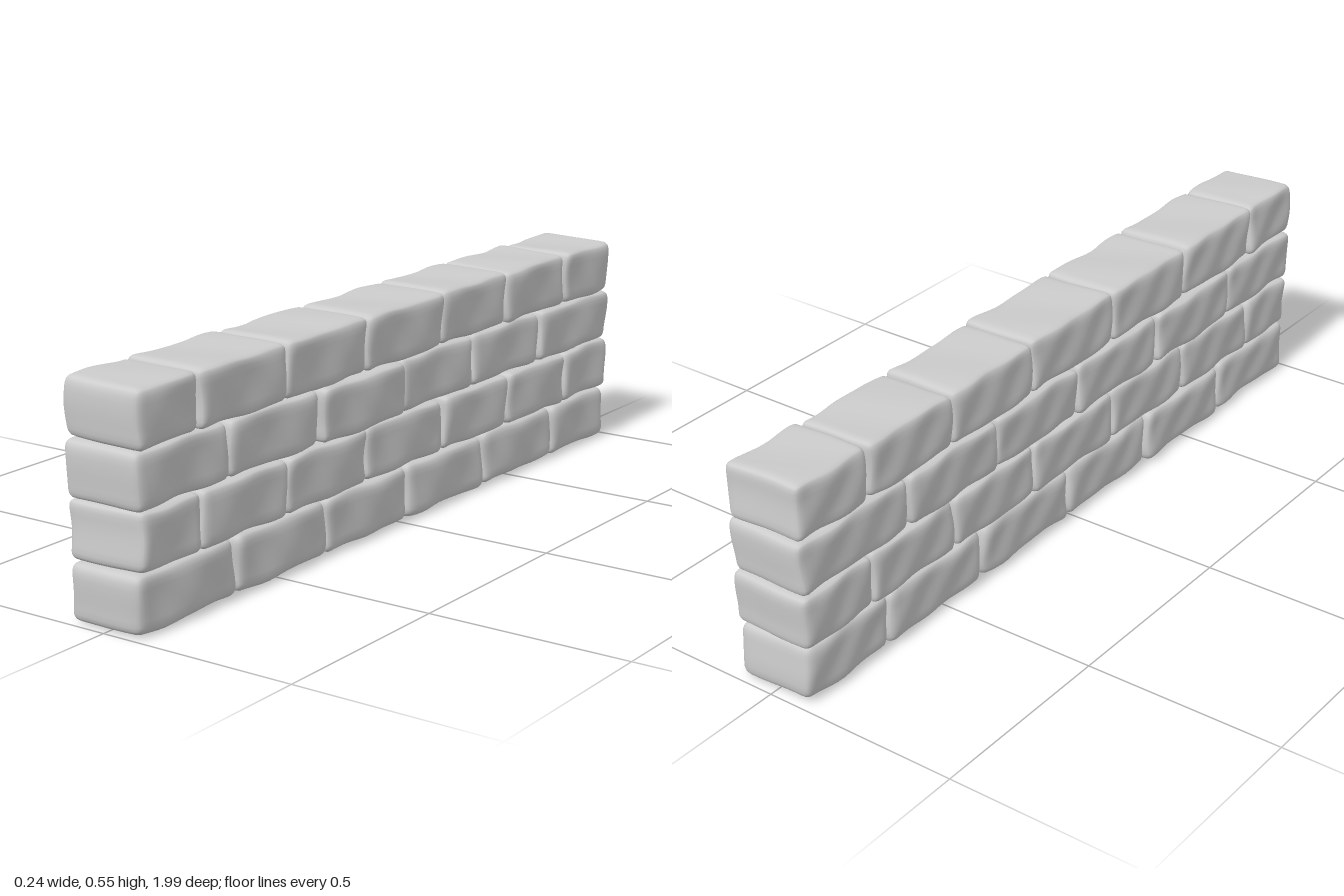
import * as THREE from 'three';
import { mergeVertices } from 'three/addons/utils/BufferGeometryUtils.js';

const material = new THREE.MeshStandardMaterial({ color: 0xcccccc });

// Small seeded generator, returns -1..1
function seeded(seed) {
  let s = seed;
  return () => {
    s = (s * 16807) % 2147483647;
    return (s / 2147483647) * 2 - 1;
  };
}

// Worn stone block: box with rounded edges and a gentle surface ripple
function stoneGeometry(w, h, d, r, rand) {
  const geo = new THREE.BoxGeometry(w, h, d, 12, 12, 20);
  geo.deleteAttribute('uv');
  geo.deleteAttribute('normal');
  const half = new THREE.Vector3(w / 2, h / 2, d / 2);
  const inner = half.clone().subScalar(r);
  const outer = inner.clone().negate();
  const phase = Array.from({ length: 6 }, () => rand() * Math.PI);
  const taper = rand() * 0.03;
  const pos = geo.attributes.position;
  const p = new THREE.Vector3();
  const core = new THREE.Vector3();
  for (let i = 0; i < pos.count; i++) {
    p.fromBufferAttribute(pos, i);
    // Gather the grid lines near the edges, then round them
    for (const a of ['x', 'y', 'z']) {
      p[a] = half[a] * Math.sin((p[a] / half[a]) * Math.PI / 2);
    }
    core.copy(p).clamp(outer, inner);
    p.sub(core).setLength(r).add(core);
    // Hand-cut unevenness
    const { x, y, z } = p;
    const side = x / half.x;
    p.x += 0.003 * Math.sin(z * 24 + y * 18 + phase[0] + side) * side
      + 0.002 * Math.sin(z * 45 - y * 40 + phase[1]);
    p.y += 0.002 * Math.sin(z * 26 + phase[2] + x * 10) + taper * z * 0.4;
    p.z += 0.003 * Math.sin(y * 35 + phase[3]) + 0.002 * Math.sin(x * 30 + phase[4]);
    pos.setXYZ(i, p.x, p.y, p.z);
  }
  const smooth = mergeVertices(geo, 1e-5);
  smooth.computeVertexNormals();
  return smooth;
}

// Courses from the ground up; joints run from front to back,
// bulge lists blocks standing out as [index, amount on -x, amount on +x]
const evenJoints = [0.99, 0.785, 0.475, 0.16, -0.17, -0.47, -0.76, -0.99];
const courses = [
  { name: 'bottomCourse', y0: 0.004, y1: 0.143, x0: -0.102, x1: 0.099, r: 0.024,
    joints: [0.996, 0.66, 0.32, -0.02, -0.365, -0.705, -0.985], bulge: [[1, 0.007, 0]] },
  { name: 'lowerCourse', y0: 0.144, y1: 0.28, x0: -0.108, x1: 0.104, r: 0.02,
    joints: evenJoints, bulge: [[5, 0, 0.004]] },
  { name: 'upperCourse', y0: 0.28, y1: 0.414, x0: -0.107, x1: 0.099, r: 0.02,
    joints: [0.99, 0.68, 0.35, 0.01, -0.31, -0.63, -0.99],
    bulge: [[1, 0.004, 0], [2, 0, 0.014], [5, 0, 0.004]] },
  { name: 'topCourse', y0: 0.414, y1: 0.551, x0: -0.105, x1: 0.103, r: 0.02,
    joints: evenJoints, bulge: [[4, 0.004, -0.008], [5, 0.005, -0.006]] },
];

export function createModel() {
  const wall = new THREE.Group();
  wall.name = 'stoneWall';
  const rand = seeded(4711);
  for (const c of courses) {
    const course = new THREE.Group();
    course.name = c.name;
    for (let i = 0; i < c.joints.length - 1; i++) {
      const [, left, right] = c.bulge.find((b) => b[0] === i) || [i, 0, 0];
      const x0 = c.x0 - left + rand() * 0.002;
      const x1 = c.x1 + right + rand() * 0.002;
      const z0 = c.joints[i + 1] + 0.001;
      const z1 = c.joints[i] - 0.001;
      const geo = stoneGeometry(x1 - x0, c.y1 - c.y0, z1 - z0, c.r, rand);
      const block = new THREE.Mesh(geo, material);
      block.name = 'stoneBlock' + (i + 1);
      block.position.set((x0 + x1) / 2, (c.y0 + c.y1) / 2, (z0 + z1) / 2);
      // The top course leans a touch lower on its +x side
      block.rotation.z = c.name === 'topCourse' ? -0.025 : rand() * 0.012;
      course.add(block);
    }
    wall.add(course);
  }
  return wall;
}
